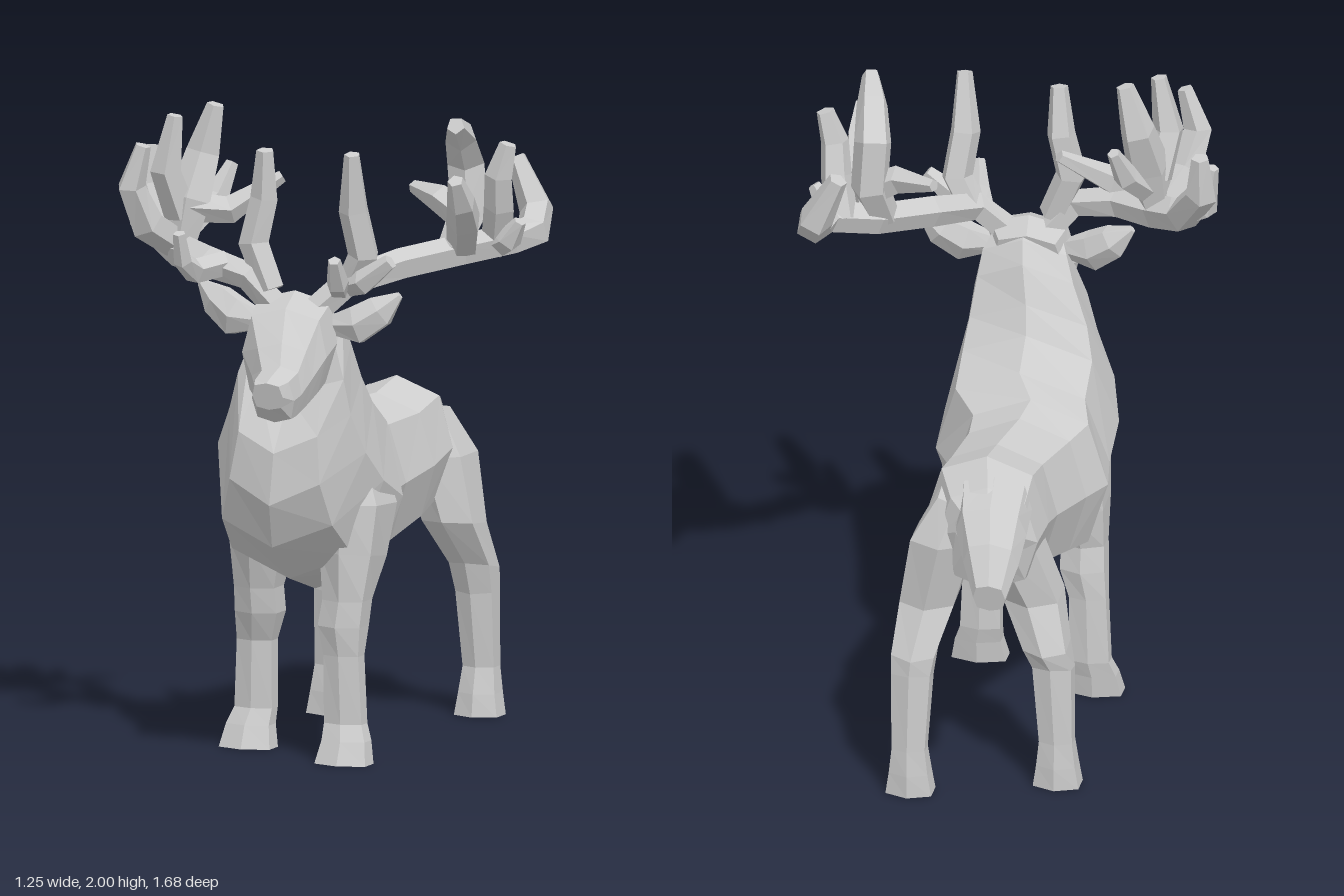
import * as THREE from 'three';

const coat = new THREE.MeshStandardMaterial({ color: 0xcccccc, flatShading: true });
coat.name = 'plain grey';

// Skin a row of closed rings, cap both ends and make the faces point outwards.
function skin(name, rings) {
  const n = rings[0].length, tris = [];
  for (let i = 0; i < rings.length - 1; i++) {
    for (let j = 0; j < n; j++) {
      const k = (j + 1) % n;
      const [a, b, c, d] = [rings[i][j], rings[i][k], rings[i + 1][k], rings[i + 1][j]];
      tris.push([a, b, c], [a, c, d]);
    }
  }
  const last = rings[rings.length - 1];
  for (let j = 1; j < n - 1; j++) {
    tris.push([rings[0][0], rings[0][j + 1], rings[0][j]], [last[0], last[j], last[j + 1]]);
  }
  let volume = 0;
  for (const [a, b, c] of tris) volume += a.dot(b.clone().cross(c));
  const pts = tris.flatMap(([a, b, c]) => (volume < 0 ? [a, c, b] : [a, b, c]));
  const geo = new THREE.BufferGeometry().setFromPoints(pts);
  geo.computeVertexNormals();
  const mesh = new THREE.Mesh(geo, coat);
  mesh.name = name;
  return mesh;
}

// Rows: [y, z] of one edge, [y, z] of the opposite edge, centre x, half width.
function loft(name, rows, sides = 8, power = 0.85) {
  const bulge = (v) => Math.sign(v) * Math.abs(v) ** power;
  return skin(name, rows.map(([ya, za, yb, zb, x, w]) =>
    Array.from({ length: sides }, (_, i) => {
      const t = (i / sides) * Math.PI * 2;
      const c = bulge(Math.cos(t)), s = bulge(Math.sin(t));
      return new THREE.Vector3(x + w * s, (ya + yb) / 2 + c * (ya - yb) / 2, (za + zb) / 2 + c * (za - zb) / 2);
    })));
}

// Faceted tapering branch through points [x, y, z, radius].
function branch(name, path, sides = 5, flat = 1) {
  const p = path.map(([x, y, z]) => new THREE.Vector3(x, y, z));
  const normal = new THREE.Vector3(0.2, 0.1, 1);
  return skin(name, p.map((c, i) => {
    const dir = p[Math.min(i + 1, p.length - 1)].clone().sub(p[Math.max(i - 1, 0)]).normalize();
    normal.addScaledVector(dir, -normal.dot(dir)).normalize();
    const side = dir.clone().cross(normal);
    return Array.from({ length: sides }, (_, j) => {
      const t = (j / sides) * Math.PI * 2, r = path[i][3];
      return c.clone().addScaledVector(normal, Math.cos(t) * r * flat).addScaledVector(side, Math.sin(t) * r);
    });
  }));
}

const TORSO = [
  [0.97, -0.66, 0.80, -0.64, -0.08, 0.10], [1.02, -0.60, 0.68, -0.60, -0.07, 0.155],
  [1.06, -0.46, 0.64, -0.44, -0.04, 0.19], [1.03, -0.30, 0.60, -0.32, -0.04, 0.19],
  [1.03, -0.10, 0.55, -0.12, -0.07, 0.21], [1.05, 0.00, 0.525, 0.00, -0.085, 0.24],
  [1.09, 0.10, 0.50, 0.20, -0.03, 0.27], [1.17, 0.20, 0.56, 0.40, -0.03, 0.27],
  [1.25, 0.25, 0.68, 0.56, -0.02, 0.245], [1.36, 0.30, 0.82, 0.63, 0.00, 0.20],
  [1.42, 0.35, 0.98, 0.62, 0.01, 0.175], [1.45, 0.43, 1.14, 0.50, 0.01, 0.14],
];
const HEAD = [
  [1.43, 0.36, 1.20, 0.42, 0.00, 0.11], [1.46, 0.45, 1.16, 0.50, 0.01, 0.15],
  [1.42, 0.56, 1.14, 0.58, 0.025, 0.14], [1.33, 0.66, 1.12, 0.66, 0.055, 0.10],
  [1.27, 0.72, 1.105, 0.74, 0.075, 0.075], [1.25, 0.80, 1.105, 0.775, 0.08, 0.07],
  [1.235, 0.84, 1.15, 0.82, 0.08, 0.05],
];
const TAIL = [
  [1.03, -0.54, 0.85, -0.58, -0.08, 0.12], [0.99, -0.69, 0.82, -0.65, -0.095, 0.11],
  [0.91, -0.77, 0.76, -0.74, -0.11, 0.085], [0.80, -0.84, 0.71, -0.82, -0.12, 0.05],
];
const FRONT_LEG = [
  [0.98, 0.36, 0.98, 0.18, 0.13, 0.05], [0.80, 0.43, 0.78, 0.14, 0.155, 0.10],
  [0.65, 0.43, 0.62, 0.20, 0.145, 0.095], [0.50, 0.42, 0.50, 0.28, 0.14, 0.075],
  [0.42, 0.425, 0.42, 0.29, 0.13, 0.078], [0.33, 0.41, 0.33, 0.32, 0.135, 0.065],
  [0.12, 0.405, 0.12, 0.32, 0.14, 0.07], [0.07, 0.43, 0.07, 0.33, 0.15, 0.08],
  [0.00, 0.46, 0.00, 0.34, 0.15, 0.095],
];
const REAR_LEG = [
  [0.98, -0.44, 0.95, -0.60, 0.03, 0.07], [0.82, -0.40, 0.82, -0.65, 0.075, 0.11],
  [0.62, -0.42, 0.60, -0.62, 0.125, 0.095], [0.48, -0.53, 0.45, -0.68, 0.155, 0.075],
  [0.38, -0.56, 0.40, -0.68, 0.16, 0.068], [0.15, -0.59, 0.15, -0.685, 0.165, 0.058],
  [0.07, -0.57, 0.07, -0.69, 0.165, 0.068], [0.00, -0.56, 0.00, -0.69, 0.165, 0.08],
];

// Each antler is a main beam followed by its tines.
const LEFT_ANTLER = [
  [[0.08, 1.40, 0.46, 0.045], [0.17, 1.49, 0.42, 0.045], [0.28, 1.53, 0.27, 0.05], [0.42, 1.56, 0.12, 0.05],
    [0.55, 1.59, 0.04, 0.05], [0.58, 1.60, -0.06, 0.055], [0.555, 1.66, -0.15, 0.055], [0.48, 1.81, -0.17, 0.03]],
  [[0.18, 1.49, 0.41, 0.045], [0.23, 1.58, 0.43, 0.05], [0.21, 1.72, 0.46, 0.048], [0.22, 1.90, 0.50, 0.025]],
  [[0.17, 1.48, 0.42, 0.035], [0.24, 1.50, 0.46, 0.04], [0.33, 1.57, 0.46, 0.025]],
  [[0.15, 1.47, 0.44, 0.035], [0.18, 1.50, 0.52, 0.035], [0.19, 1.58, 0.57, 0.02]],
  [[0.40, 1.56, 0.14, 0.05], [0.43, 1.68, 0.08, 0.06], [0.42, 1.83, 0.08, 0.06], [0.44, 1.92, 0.17, 0.05],
    [0.465, 1.97, 0.27, 0.028]],
  [[0.43, 1.66, 0.11, 0.05], [0.34, 1.71, 0.09, 0.045], [0.22, 1.73, 0.02, 0.02]],
  [[0.43, 1.58, 0.13, 0.05], [0.48, 1.67, 0.24, 0.055], [0.51, 1.74, 0.33, 0.045], [0.515, 1.82, 0.39, 0.025]],
  [[0.51, 1.58, 0.05, 0.05], [0.54, 1.70, 0.10, 0.05], [0.55, 1.80, 0.13, 0.045], [0.58, 1.90, 0.13, 0.028]],
  [[0.52, 1.58, 0.06, 0.045], [0.57, 1.60, 0.10, 0.04], [0.61, 1.66, 0.11, 0.02]],
];
const RIGHT_ANTLER = [
  [[-0.04, 1.40, 0.46, 0.045], [-0.13, 1.50, 0.48, 0.045], [-0.27, 1.53, 0.45, 0.05], [-0.40, 1.545, 0.37, 0.055],
    [-0.50, 1.58, 0.28, 0.055], [-0.58, 1.70, 0.18, 0.05], [-0.58, 1.83, 0.16, 0.028]],
  [[-0.06, 1.46, 0.47, 0.045], [-0.12, 1.60, 0.46, 0.05], [-0.09, 1.74, 0.45, 0.045], [-0.08, 1.89, 0.47, 0.028]],
  [[-0.22, 1.53, 0.46, 0.04], [-0.27, 1.52, 0.58, 0.04], [-0.28, 1.56, 0.64, 0.03], [-0.28, 1.65, 0.67, 0.02]],
  [[-0.40, 1.57, 0.37, 0.05], [-0.38, 1.70, 0.35, 0.07], [-0.36, 1.84, 0.29, 0.055], [-0.32, 1.99, 0.29, 0.028]],
  [[-0.38, 1.68, 0.36, 0.05], [-0.27, 1.67, 0.30, 0.045], [-0.13, 1.77, 0.22, 0.02]],
  [[-0.40, 1.66, 0.37, 0.055], [-0.43, 1.80, 0.42, 0.05], [-0.40, 1.97, 0.42, 0.025]],
  [[-0.42, 1.57, 0.37, 0.05], [-0.47, 1.64, 0.48, 0.055], [-0.50, 1.76, 0.53, 0.045], [-0.46, 1.89, 0.53, 0.025]],
  [[-0.38, 1.62, 0.35, 0.04], [-0.33, 1.70, 0.26, 0.04], [-0.30, 1.80, 0.21, 0.02]],
  [[-0.48, 1.58, 0.30, 0.05], [-0.57, 1.62, 0.27, 0.045], [-0.60, 1.76, 0.25, 0.02]],
];

export function createModel() {
  const stag = new THREE.Group();
  stag.name = 'stag';
  stag.add(loft('torsoAndNeck', TORSO), loft('head', HEAD, 8, 0.65), loft('tail', TAIL, 8, 0.7));

  // Legs: the right pair is mirrored and swings forward or back towards the foot.
  const leg = (name, rows, side, dx, dz) => stag.add(loft(name,
    rows.map(([ya, za, yb, zb, x, w]) => {
      const swing = Math.min(1, (1 - ya) * 1.5);
      return [ya, za + dz * swing, yb, zb + dz * swing, side * x + dx * swing, w];
    }), 6));
  leg('leftFrontLeg', FRONT_LEG, 1, 0, 0);
  leg('rightFrontLeg', FRONT_LEG, -1, -0.095, -0.185);
  leg('leftRearLeg', REAR_LEG, 1, 0, 0);
  leg('rightRearLeg', REAR_LEG, -1, -0.1, 0.14);

  // Ears
  for (const [name, s] of [['leftEar', 1], ['rightEar', -1]]) {
    stag.add(branch(name, [[0.01 + s * 0.11, 1.36, 0.45, 0.03], [0.01 + s * 0.2, 1.365, 0.44, 0.065],
      [0.01 + s * 0.27, 1.41, 0.42, 0.055], [0.01 + s * 0.33, 1.46, 0.41, 0.012]], 6, 0.85));
  }

  // Antlers
  for (const [name, paths] of [['leftAntler', LEFT_ANTLER], ['rightAntler', RIGHT_ANTLER]]) {
    const antler = new THREE.Group();
    antler.name = name;
    paths.forEach((path, i) => antler.add(branch(i ? 'tine' + i : 'beam', path)));
    stag.add(antler);
  }
  return stag;
}
